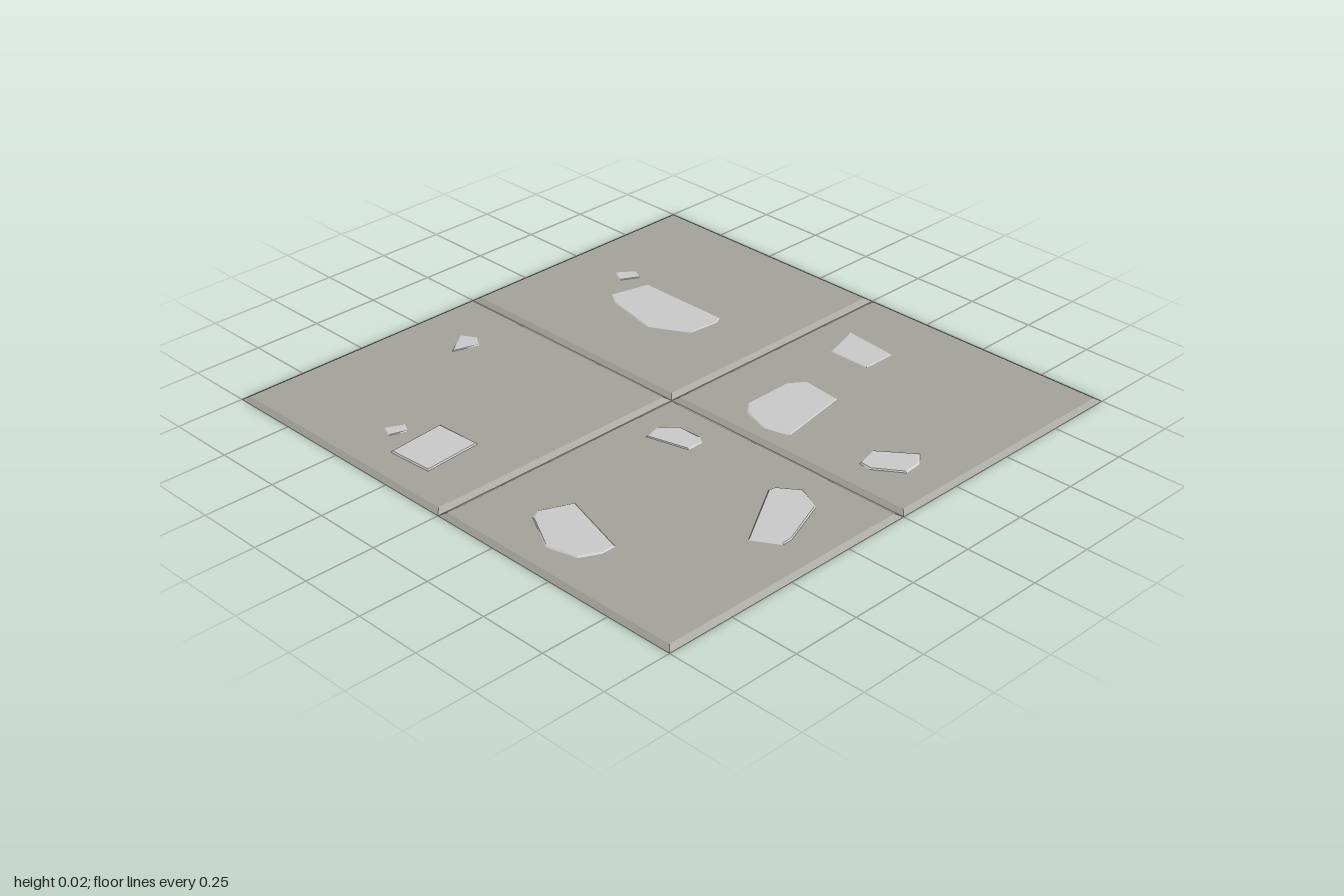
import * as THREE from 'three';

const TILE_TOP = 0.012;

// Outlines of the stone chips as [x, z], clockwise seen from above
const STONES = [
  { top: 0.014, p: [[-0.79, -0.49], [-0.74, -0.555], [-0.69, -0.53], [-0.73, -0.455]] },
  { top: 0.014, p: [[-0.64, -0.51], [-0.27, -0.51], [-0.255, -0.48], [-0.265, -0.36], [-0.405, -0.28], [-0.62, -0.325], [-0.675, -0.36]] },
  { top: 0.014, p: [[0.11, -0.755], [0.325, -0.735], [0.325, -0.6], [0.155, -0.6]] },
  { top: 0.014, p: [[0.24, -0.395], [0.395, -0.38], [0.445, -0.09], [0.35, -0.065], [0.24, -0.1], [0.2, -0.145], [0.2, -0.34]] },
  { top: 0.016, p: [[0.685, -0.21], [0.81, -0.305], [0.85, -0.255], [0.857, -0.185], [0.755, -0.115], [0.71, -0.12]] },
  { top: 0.015, p: [[0.1, 0.17], [0.15, 0.115], [0.25, 0.115], [0.28, 0.135], [0.28, 0.2], [0.12, 0.24]] },
  { top: 0.016, p: [[0.615, 0.19], [0.62, 0.165], [0.69, 0.115], [0.79, 0.16], [0.862, 0.35], [0.862, 0.39], [0.77, 0.445]] },
  { top: 0.015, p: [[0.2, 0.78], [0.25, 0.665], [0.52, 0.745], [0.52, 0.8], [0.485, 0.87], [0.37, 0.9], [0.22, 0.815]] },
  { top: 0.016, p: [[-0.4, 0.655], [-0.22, 0.645], [-0.203, 0.87], [-0.38, 0.88]] },
  { top: 0.014, p: [[-0.515, 0.8], [-0.48, 0.73], [-0.435, 0.753], [-0.46, 0.822]] },
  { top: 0.014, p: [[-0.82, 0.215], [-0.765, 0.18], [-0.71, 0.215], [-0.745, 0.315]] },
];

// Open-bottomed slab: sloped sides rising from an outline to a smaller flat top
function bevelledSlab(outline, low, high, inset) {
  const n = outline.length;
  const cx = outline.reduce((s, p) => s + p[0], 0) / n;
  const cz = outline.reduce((s, p) => s + p[1], 0) / n;
  const lower = outline.map(([x, z]) => [x, low, z]);
  const upper = outline.map(([x, z]) => {
    const k = 1 - inset / Math.hypot(x - cx, z - cz);
    return [cx + (x - cx) * k, high, cz + (z - cz) * k];
  });
  const v = [];
  for (let i = 0; i < n; i++) {
    const j = (i + 1) % n;
    v.push(lower[j], lower[i], upper[i], lower[j], upper[i], upper[j]);
    v.push([cx, high, cz], upper[j], upper[i]);
  }
  const g = new THREE.BufferGeometry();
  g.setAttribute('position', new THREE.Float32BufferAttribute(v.flat(), 3));
  g.computeVertexNormals();
  return g;
}

export function createModel() {
  const model = new THREE.Group();
  model.name = 'stoneFloor';
  const tileMat = new THREE.MeshStandardMaterial({ color: 0xa5a59d, flatShading: true, side: THREE.DoubleSide });
  const stoneMat = new THREE.MeshStandardMaterial({ color: 0xcccccc, flatShading: true, side: THREE.DoubleSide });

  // Four square tiles, their bevels meeting in V-shaped grooves
  const square = [[-0.5, -0.5], [0.5, -0.5], [0.5, 0.5], [-0.5, 0.5]];
  const tileGeo = bevelledSlab(square, 0, TILE_TOP, 0.02 * Math.SQRT2);
  for (const x of [-0.5, 0.5]) {
    for (const z of [-0.5, 0.5]) {
      const tile = new THREE.Mesh(tileGeo, tileMat);
      tile.name = 'tile';
      tile.position.set(x, 0, z);
      model.add(tile);
    }
  }

  // Thin chips set into the tile tops
  for (const { top, p } of STONES) {
    const stone = new THREE.Mesh(bevelledSlab(p, TILE_TOP - 0.002, top, 0.01), stoneMat);
    stone.name = 'stoneChip';
    model.add(stone);
  }
  return model;
}
